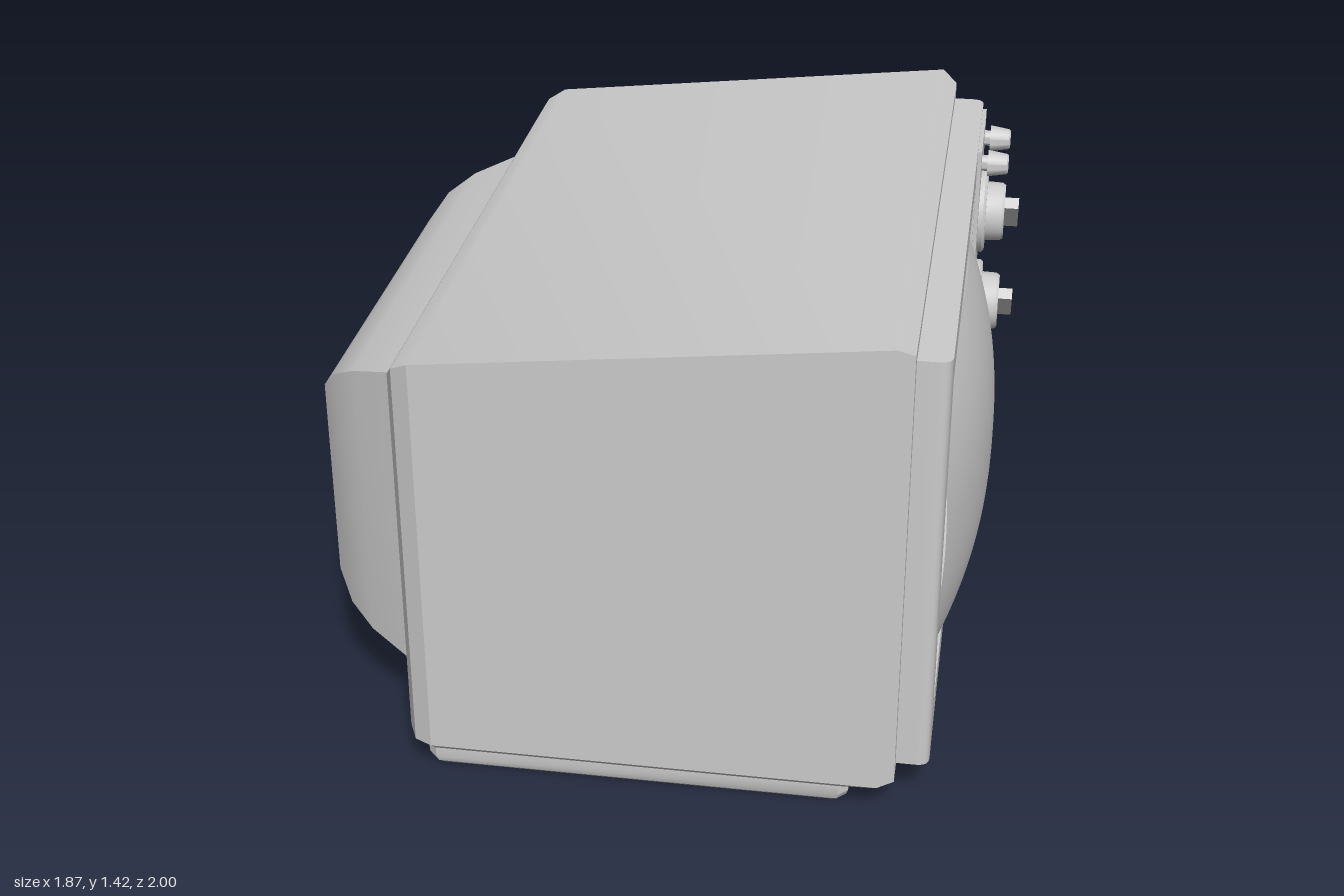
import * as THREE from 'three';
import { toCreasedNormals } from 'three/addons/utils/BufferGeometryUtils.js';

const mat = new THREE.MeshStandardMaterial({ color: 0xcccccc });

// Skin through rings of points (counter-clockwise seen against the direction of travel).
function loft(rings, caps = true, crease = 0.6) {
  const pos = [];
  const tri = (a, b, c) => pos.push(...a, ...b, ...c);
  const n = rings[0].length;
  for (let r = 0; r < rings.length - 1; r++) {
    const a = rings[r], b = rings[r + 1];
    for (let i = 0; i < n; i++) {
      const j = (i + 1) % n;
      tri(a[i], a[j], b[j]);
      tri(a[i], b[j], b[i]);
    }
  }
  if (caps) {
    const a = rings[0], b = rings[rings.length - 1];
    for (let i = 1; i < n - 1; i++) {
      tri(a[0], a[i + 1], a[i]);
      tri(b[0], b[i], b[i + 1]);
    }
  }
  const g = new THREE.BufferGeometry();
  g.setAttribute('position', new THREE.Float32BufferAttribute(pos, 3));
  return toCreasedNormals(g, crease);
}

// Rectangle across the x axis.
const rectX = (x, y0, y1, z0, z1) => [[x, y0, z1], [x, y0, z0], [x, y1, z0], [x, y1, z1]];

// Plan outline at height y, mirrored in z.
const planY = (y, pts) => [
  ...pts.map(([x, z]) => [x, y, z]),
  ...[...pts].reverse().map(([x, z]) => [x, y, -z]),
];

export function createModel() {
  const tv = new THREE.Group();
  tv.name = 'television';

  const add = (name, geometry, parent = tv) => {
    const m = new THREE.Mesh(geometry, mat);
    m.name = name;
    parent.add(m);
    return m;
  };
  const box = (name, x0, x1, y0, y1, z0, z1, parent) => {
    const m = add(name, new THREE.BoxGeometry(x1 - x0, y1 - y0, z1 - z0), parent);
    m.position.set((x0 + x1) / 2, (y0 + y1) / 2, (z0 + z1) / 2);
    return m;
  };
  // Turned part around the x axis: points are [radius, x].
  const turned = (name, pts, y, z, parent) => {
    const g = new THREE.LatheGeometry(pts.map(([r, x]) => new THREE.Vector2(r, x)), 32);
    g.rotateZ(-Math.PI / 2);
    const m = add(name, toCreasedNormals(g, 0.6), parent);
    m.position.set(0, y, z);
    return m;
  };

  // Cabinet with sloping roof and chamfered ends
  add('cabinet', loft([
    [-0.65, 0.10, 1.21, 0.91],
    [-0.62, 0.10, 1.26, 0.975],
    [-0.57, 0.10, 1.287, 1],
    [0.665, 0.10, 1.425, 1],
    [0.71, 0.10, 1.395, 0.965],
  ].map(([x, y0, y1, z]) => rectX(x, y0, y1, -z, z)), true, 0.4));

  // Underside chamfer and plinth
  const foot = [[-0.605, 0.88], [-0.595, 0.93], [-0.57, 0.955], [0.56, 0.955], [0.585, 0.93]];
  add('base', loft([
    planY(0, foot.map(([x, z]) => [x * 0.965, z * 0.98])),
    planY(0.012, foot.map(([x, z]) => [x * 0.99, z * 0.993])),
    planY(0.03, foot),
    planY(0.06, foot),
    planY(0.1, [[-0.65, 0.91], [-0.62, 0.975], [-0.57, 1], [0.665, 1], [0.71, 0.965]]),
  ], true, 0.4));

  // Tapered housing at the back
  add('backHousing', loft([
    [-0.935, 0.38, 0.98, 0.575],
    [-0.885, 0.31, 1.05, 0.64],
    [-0.81, 0.265, 1.097, 0.7],
    [-0.64, 0.205, 1.153, 0.795],
  ].map(([x, y0, y1, z]) => rectX(x, y0, y1, -z, z))));

  // Front bezel: two posts with a rounded outer edge, two rails
  const bezel = new THREE.Group();
  bezel.name = 'bezel';
  tv.add(bezel);
  const post = (name, inner, outer) => {
    const s = Math.sign(outer), r = 0.035;
    const sh = new THREE.Shape();
    sh.moveTo(0.7, -inner);
    sh.lineTo(0.8, -inner);
    sh.lineTo(0.8, -(outer - s * r));
    sh.quadraticCurveTo(0.8, -outer, 0.8 - r, -outer);
    sh.lineTo(0.7, -outer);
    const g = new THREE.ExtrudeGeometry(sh, { depth: 1.23, bevelEnabled: false, curveSegments: 6 });
    g.rotateX(-Math.PI / 2);
    add(name, toCreasedNormals(g, 0.6), bezel).position.y = 0.13;
  };
  post('screenSidePost', 0.8, 0.92);
  post('controlSidePost', -0.475, -0.92);
  box('bottomRail', 0.7, 0.8, 0.13, 0.25, -0.475, 0.8, bezel);
  box('topRail', 0.7, 0.8, 1.25, 1.36, -0.475, 0.8, bezel);

  // Slanted walls of the screen opening
  add('screenSurround', loft([
    rectX(0.8, 0.25, 1.25, -0.475, 0.8),
    rectX(0.712, 0.265, 1.235, -0.463, 0.77),
  ], false));

  // Bulging picture tube
  const glass = new THREE.PlaneGeometry(2, 2, 32, 32);
  const p = glass.attributes.position;
  for (let i = 0; i < p.count; i++) {
    const u = p.getX(i), v = p.getY(i);
    const a = Math.abs(u) ** 2.3, b = Math.abs(v) ** 2.3;
    p.setXYZ(i, 0.905 - 0.1 * a - 0.1 * b + 0.015 * a * b, 0.75 + 0.485 * v, 0.1535 - 0.6165 * u);
  }
  glass.computeVertexNormals();
  add('screen', glass);

  // Control panel with lower door
  box('controlPanel', 0.79, 0.812, 0.14, 1.35, -0.865, -0.5);
  add('controlDoor', loft([
    rectX(0.8, 0.195, 0.58, -0.838, -0.53),
    rectX(0.826, 0.195, 0.58, -0.838, -0.53),
    rectX(0.834, 0.207, 0.568, -0.826, -0.542),
  ], true, 0.2));

  // Two channel dials, each with a slanted grip
  for (const y of [1.08, 0.77]) {
    const dial = new THREE.Group();
    dial.name = 'channelDial';
    tv.add(dial);
    turned('dialPlate', [[0.13, 0.8], [0.13, 0.826], [0.122, 0.834], [0, 0.834]], y, -0.69, dial);
    turned('dialKnob', [[0.092, 0.83], [0.09, 0.88], [0.083, 0.89], [0, 0.89]], y, -0.69, dial);
    const grip = box('dialGrip', 0.88, 0.933, y - 0.074, y + 0.074, -0.708, -0.672, dial);
    grip.rotation.x = Math.PI / 4;
  }

  // Two small knobs above the dials
  for (const z of [-0.583, -0.79]) {
    turned('smallKnob',
      [[0.024, 0.8], [0.024, 0.83], [0.04, 0.83], [0.038, 0.845], [0.031, 0.888], [0.026, 0.893], [0, 0.893]],
      1.283, z);
  }

  return tv;
}
